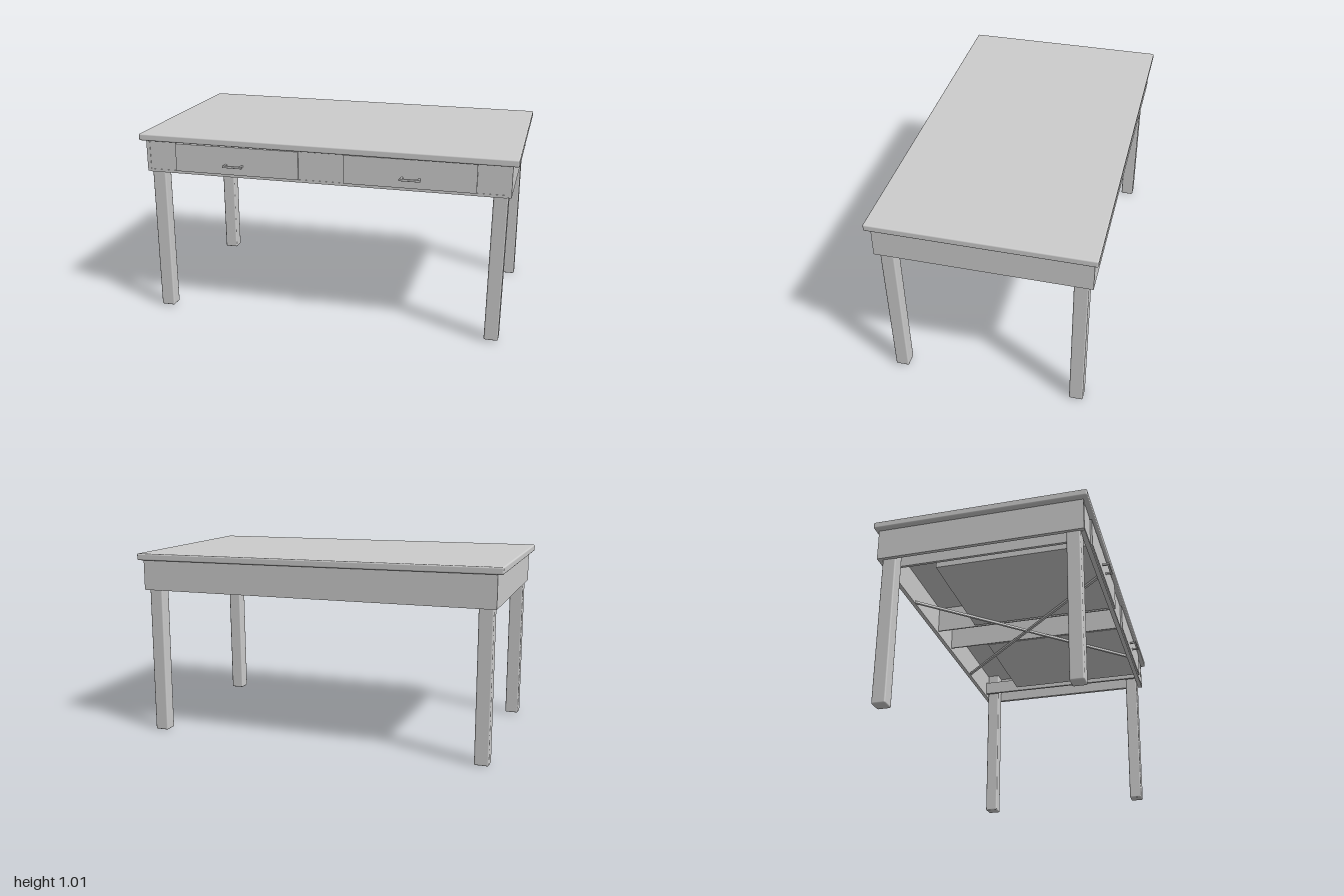
import * as THREE from 'three';
import { RoundedBoxGeometry } from 'three/addons/geometries/RoundedBoxGeometry.js';

export function createModel() {
  const desk = new THREE.Group();
  desk.name = 'desk';
  const mat = new THREE.MeshStandardMaterial({ color: 0xcccccc });

  // Box given by its min and max corners, optionally with rounded edges
  function box(name, [x0, y0, z0], [x1, y1, z1], radius = 0, parent = desk) {
    const size = [x1 - x0, y1 - y0, z1 - z0];
    const geo = radius
      ? new RoundedBoxGeometry(...size, 2, radius)
      : new THREE.BoxGeometry(...size);
    const mesh = new THREE.Mesh(geo, mat);
    mesh.name = name;
    mesh.position.set((x0 + x1) / 2, (y0 + y1) / 2, (z0 + z1) / 2);
    parent.add(mesh);
    return mesh;
  }

  // Table top, very slightly lower on its left
  const top = box('tableTop', [-1, 0.973, -0.575], [1, 1.01, 0.555], 0.008);
  top.rotation.z = -0.004;

  // Apron: back, two sides, and front frame around the drawers
  box('backApron', [-0.97, 0.805, -0.555], [0.97, 0.975, -0.533]);
  box('frontCentrePanel', [-0.12, 0.805, 0.505], [0.12, 0.975, 0.528]);
  box('frontBottomRail', [-0.95, 0.803, 0.505], [0.95, 0.818, 0.53]);

  for (const s of [-1, 1]) {
    // Mirrored box: x runs from inner to outer distance on side s
    const side = (name, xi, xo, y0, y1, z0, z1, r, parent) =>
      box(name, [s > 0 ? xi : -xo, y0, z0], [s > 0 ? xo : -xi, y1, z1], r, parent);

    side('sideApron', 0.95, 0.97, 0.805, 0.975, -0.555, 0.53);
    side('frontCornerPanel', 0.8, 0.95, 0.818, 0.975, 0.505, 0.528);

    // Legs; the left front one leans a little
    const frontLeg = side('frontLeg', 0.88, 0.955, 0.008, 0.972, 0.436, 0.508, 0.008);
    if (s > 0) {
      frontLeg.position.x -= 0.005;
      frontLeg.position.z -= 0.006;
      frontLeg.rotation.set(0.01, 0, -0.014);
    }
    side('backLeg', 0.877, 0.953, 0, 0.972, -0.531, -0.458, 0.008);

    // Drawer runners under the top
    side('innerRunner', 0.112, 0.12, 0.82, 0.972, -0.533, 0.505);
    side('outerRunner', 0.835, 0.85, 0.82, 0.9, -0.533, 0.505);

    // Drawer: open tray with a front board
    const drawer = new THREE.Group();
    drawer.name = s > 0 ? 'leftDrawer' : 'rightDrawer';
    desk.add(drawer);
    side('drawerFront', 0.12, 0.8, 0.818, 0.968, 0.505, 0.538, 0, drawer);
    side('drawerBottom', 0.13, 0.79, 0.822, 0.834, -0.3, 0.505, 0, drawer);
    side('drawerBack', 0.13, 0.79, 0.834, 0.94, -0.3, -0.285, 0, drawer);
    side('drawerInnerSide', 0.13, 0.145, 0.834, 0.94, -0.285, 0.505, 0, drawer);
    side('drawerOuterSide', 0.775, 0.79, 0.834, 0.94, -0.285, 0.505, 0, drawer);

    // Handle: thin bar on two posts
    side('handleBar', 0.415, 0.525, 0.864, 0.876, 0.563, 0.575, 0.003, drawer);
    for (const x of [0.42, 0.51]) {
      side('handlePost', x, x + 0.01, 0.865, 0.875, 0.536, 0.568, 0, drawer);
    }

    // Diagonal brace below the drawers
    const dx = 0.98, dz = 1.04;
    const brace = box('crossBrace', [-0.007, 0.807, -Math.hypot(dx, dz) / 2],
      [0.007, 0.82, Math.hypot(dx, dz) / 2]);
    brace.position.z = -0.015;
    brace.rotation.y = s * Math.atan2(dx, dz);
  }

  return desk;
}
